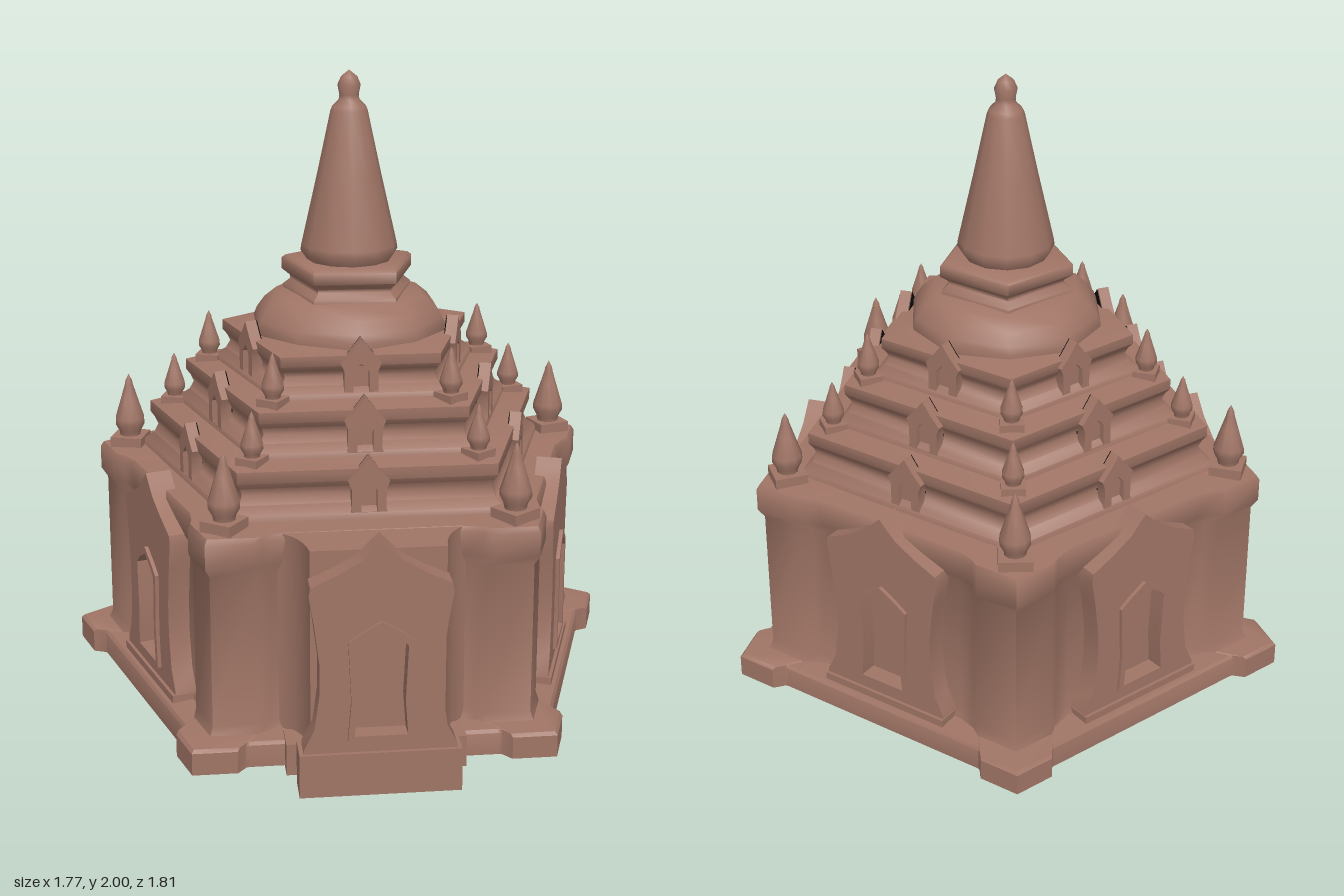
import * as THREE from 'three';
import { toCreasedNormals } from 'three/addons/utils/BufferGeometryUtils.js';

const CZ = 0.03;                 // centre of the pentagon
const T36 = Math.tan(Math.PI / 5), C36 = Math.cos(Math.PI / 5);

export function createModel() {
  const root = new THREE.Group();
  root.name = 'pentagonalTemple';
  const stone = new THREE.MeshStandardMaterial({ color: 0xa07566, side: THREE.DoubleSide });
  stone.name = 'brown stone';
  const black = new THREE.MeshStandardMaterial({ color: 0x0c0c0c, side: THREE.DoubleSide });
  black.name = 'black backing';

  const add = (parent, name, geo, x = 0, y = 0, z = 0, crease = 0.65, material = stone) => {
    const m = new THREE.Mesh(toCreasedNormals(geo, crease), material);
    m.name = name;
    m.position.set(x, y, z);
    parent.add(m);
    return m;
  };
  const group = (parent, name, angle = 0) => {
    const g = new THREE.Group();
    g.name = name;
    g.rotation.y = angle;
    parent.add(g);
    return g;
  };
  const v2 = (pts) => pts.map(([a, b]) => new THREE.Vector2(a, b));
  const pent = (pts) => new THREE.LatheGeometry(v2(pts), 5, Math.PI / 5);

  // Pentagon shell with a projecting pier at each corner; levels are [y, pierTip, wallApothem]
  function pierShell(levels, hw, fillet) {
    const pos = [], idx = [];
    for (const [y, tip, a] of levels) {
      const wallR = (l) => a / C36 - l * T36;
      const neck = Math.min(wallR(hw) + fillet * 0.24, tip - hw * T36);
      const section = [
        [-hw - fillet, wallR(hw + fillet)], [-hw - fillet * 0.25, neck], [-hw, tip - hw * T36], [0, tip],
        [hw, tip - hw * T36], [hw + fillet * 0.25, neck], [hw + fillet, wallR(hw + fillet)],
      ];
      for (let k = 0; k < 5; k++) {
        const t = Math.PI / 5 + k * Math.PI * 0.4, s = Math.sin(t), c = Math.cos(t);
        for (const [l, r] of section) pos.push(s * r + c * l, y, c * r - s * l);
      }
    }
    const n = 35;
    for (let j = 0; j < levels.length - 1; j++) {
      for (let i = 0; i < n; i++) {
        const a = j * n + i, b = j * n + (i + 1) % n;
        idx.push(a, b, b + n, a, b + n, a + n);
      }
    }
    const g = new THREE.BufferGeometry();
    g.setAttribute('position', new THREE.Float32BufferAttribute(pos, 3));
    g.setIndex(idx);
    return g;
  }

  const body = group(root, 'body');
  body.position.z = CZ;

  // Plinth and main storey
  add(body, 'plinth', pierShell([
    [0.03, 0.933, 0.72], [0.1, 0.933, 0.72], [0.11, 0.922, 0.712], [0.115, 0.8, 0.61],
  ], 0.11, 0.008));
  add(body, 'mainStorey', pierShell([
    [0.11, 0.835, 0.635], [0.14, 0.82, 0.622], [0.62, 0.82, 0.622], [0.65, 0.842, 0.64],
    [0.725, 0.842, 0.65], [0.742, 0.83, 0.64], [0.75, 0.6, 0.47],
  ], 0.115, 0.05), 0, 0, 0, 0.9);

  // Three stepped terraces
  const terraces = [[0.74, 0.90, 0.665, 0.52], [0.90, 1.05, 0.54, 0.40], [1.05, 1.19, 0.415, 0.28]];
  terraces.forEach(([y0, y1, r, inner], i) => {
    const h = y1 - y0;
    add(body, 'terrace' + (i + 1), pent([
      [r + 0.03, y0], [r + 0.025, y0 + h * 0.15], [r - 0.01, y0 + h * 0.3], [r - 0.025, y0 + h * 0.48],
      [r - 0.015, y0 + h * 0.62], [r, y0 + h * 0.74], [r, y1 - 0.005], [inner, y1 + 0.012],
    ]), 0, 0, 0, 1.1);
  });

  // Dome, collar and spire
  add(body, 'dome', new THREE.LatheGeometry(v2([
    [0.305, 1.17], [0.31, 1.21], [0.30, 1.235], [0.275, 1.27], [0.235, 1.303], [0.15, 1.31],
  ]), 10), 0, 0, 0, 1);
  add(body, 'collar', pent([
    [0.215, 1.295], [0.215, 1.315], [0.19, 1.335], [0.19, 1.345], [0.218, 1.365],
    [0.218, 1.40], [0.205, 1.41], [0.10, 1.412],
  ]), 0, 0, 0.005, 1.1);
  add(body, 'spire', new THREE.LatheGeometry(v2([
    [0.125, 1.40], [0.153, 1.44], [0.15, 1.46], [0.10, 1.68], [0.058, 1.875], [0.052, 1.89], [0.032, 1.91],
    [0.03, 1.925], [0.036, 1.955], [0.025, 1.98], [0, 2.0],
  ]), 12), 0, 0, 0.01, 1.2);

  // Corner pinnacles: [distance, base height, total height, half width]
  const pinnacles = [[0.737, 0.742, 0.24, 0.052], [0.58, 0.90, 0.163, 0.037], [0.46, 1.05, 0.163, 0.037]];
  for (let k = 0; k < 5; k++) {
    const corner = group(body, 'corner' + (k + 1), Math.PI / 5 + k * Math.PI * 0.4);
    for (const [d, y, h, w] of pinnacles) {
      const p = group(corner, 'pinnacle');
      p.position.set(0, y, d);
      add(p, 'pinnacleBase', new THREE.BoxGeometry(w * 2, h * 0.16, w * 2), 0, h * 0.06, 0);
      add(p, 'pinnacleUnderside', new THREE.BoxGeometry(w * 1.9, 0.004, w * 1.9), 0, -h * 0.03, 0, 0.65, black);
      add(p, 'pinnacleBud', new THREE.LatheGeometry(v2([
        [w * 0.65, h * 0.13], [w * 0.7, h * 0.2], [w * 0.95, h * 0.3], [w * 0.93, h * 0.38],
        [w * 0.5, h * 0.68], [w * 0.26, h * 0.85], [w * 0.22, h * 0.9], [0, h],
      ]), 10), 0, 0, 0, 0.9);
    }
  }

  // Mirrors a right-hand half outline (bottom to peak) into a closed list
  const mirror = (half) => v2([...half, ...half.slice(0, -1).reverse().map(([x, y]) => [-x, y])]);
  const plate = (outer, hole, depth) => {
    const s = new THREE.Shape(mirror(outer));
    s.holes.push(new THREE.Path(mirror(hole)));
    return new THREE.ExtrudeGeometry(s, { depth, bevelEnabled: false });
  };
  const panel = (shape) => new THREE.ShapeGeometry(new THREE.Shape(mirror(shape)));

  // Large portal with flared pediment and pointed niche
  const portalOutline = [
    [0.23, 0.11], [0.225, 0.15], [0.195, 0.21], [0.18, 0.32], [0.18, 0.42], [0.195, 0.54], [0.21, 0.63],
    [0.205, 0.655], [0.13, 0.69], [0.06, 0.73], [0.025, 0.765], [0, 0.79],
  ];
  const niche = [[0.078, 0.19], [0.07, 0.3], [0.078, 0.47], [0.05, 0.498], [0, 0.525]];
  const nicheTrim = [[0.098, 0.175], [0.088, 0.3], [0.097, 0.485], [0.06, 0.512], [0, 0.548]];

  // Small gable standing on each terrace step
  const gableOutline = [[0.06, 0], [0.052, 0.03], [0.052, 0.09], [0.062, 0.115], [0.03, 0.15], [0, 0.19]];
  const gableNiche = [[0.024, 0.02], [0.024, 0.09], [0, 0.115]];
  const gables = [[0.522, 0.745], [0.422, 0.9], [0.316, 1.05]];

  for (let k = 0; k < 5; k++) {
    const side = group(body, 'side' + (k + 1), k * Math.PI * 0.4);
    const z = k === 0 ? 0.785 : 0.61, depth = k === 0 ? 0.075 : 0.08;
    add(side, 'portal', plate(portalOutline, niche, depth), 0, 0, z);
    add(side, 'nicheTrim', plate(nicheTrim, niche, 0.012), 0, 0, z + depth);
    add(side, 'nicheBack', panel(nicheTrim), 0, 0, z + depth - 0.045);
    // black inner face of the portal, inside the hollow storey
    add(side, 'portalInnerFace', panel(portalOutline), 0, -0.05, 0.598, 0.65, black);
    for (const [gz, gy] of gables) {
      add(side, 'gable', plate(gableOutline, gableNiche, 0.036), 0, gy, gz);
      add(side, 'gableNicheBack', panel(gableNiche), 0, gy, gz + 0.018);
      add(side, 'gableRearFace', panel(gableOutline), 0, gy, gz - 0.003, 0.65, black);
    }
    if (k > 0) add(side, 'portalSill', new THREE.BoxGeometry(0.46, 0.03, 0.1), 0, 0.12, 0.65);
  }

  // Front porch, sweeping out from the wall to the entrance portal
  const plan = new THREE.Shape();
  plan.moveTo(-0.31, -0.63);
  plan.lineTo(-0.31, -0.645);
  plan.quadraticCurveTo(-0.21, -0.69, -0.2, -0.82);
  plan.lineTo(0.2, -0.82);
  plan.quadraticCurveTo(0.21, -0.69, 0.31, -0.645);
  plan.lineTo(0.31, -0.63);
  const porchGeo = new THREE.ExtrudeGeometry(plan, { depth: 0.64, bevelEnabled: false, curveSegments: 8 });
  porchGeo.rotateX(-Math.PI / 2);
  add(root, 'porch', porchGeo, 0, 0.1, 0);
  add(root, 'porchStep', new THREE.BoxGeometry(0.48, 0.135, 0.1), 0, 0.0675, 0.852);
  add(root, 'porchFooting', new THREE.BoxGeometry(0.54, 0.1, 0.1), 0, 0.07, 0.745);
  return root;
}
